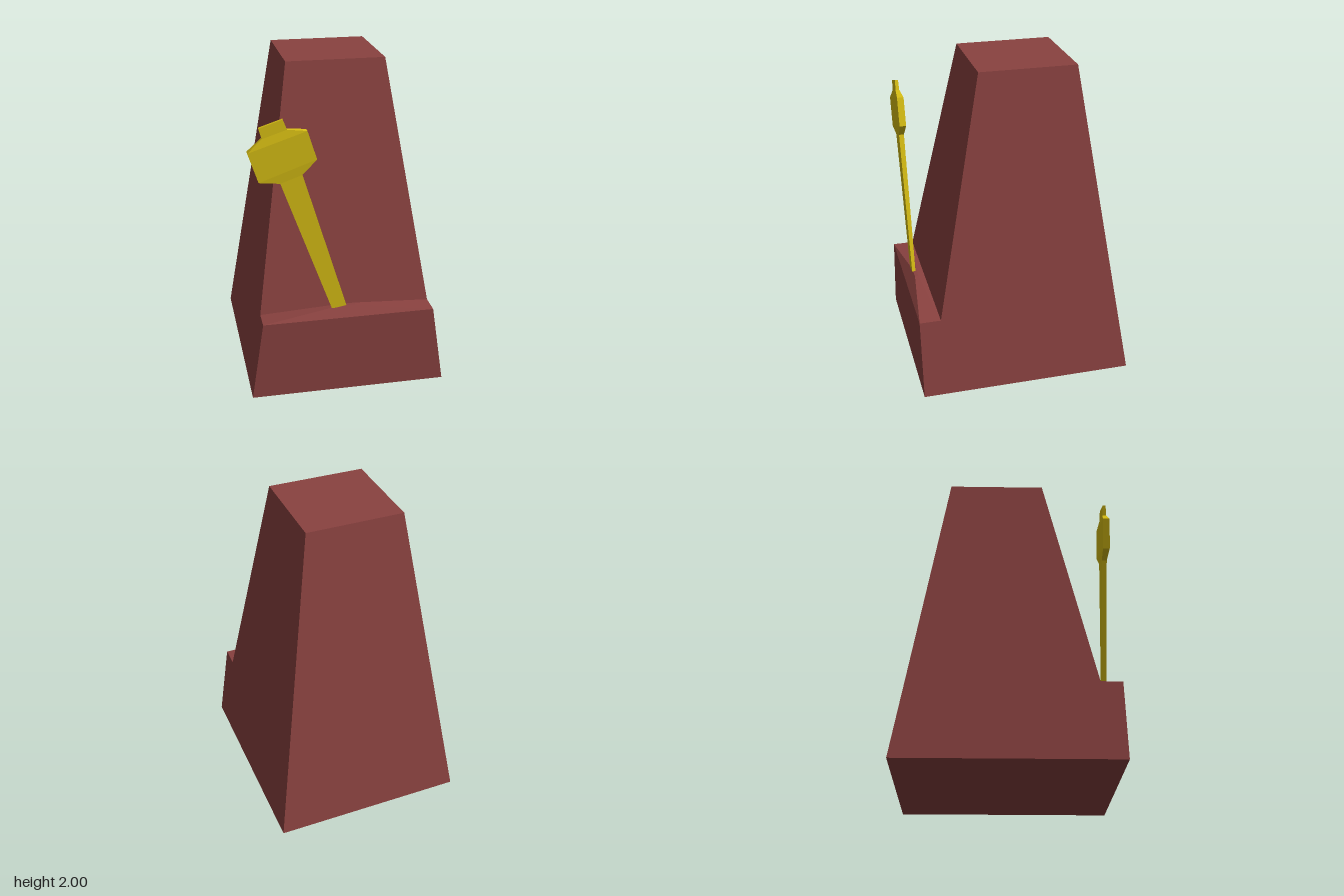
import * as THREE from 'three';

// Skins a stack of four-cornered rings (front-left, front-right, back-right, back-left).
function loft(rings, capBottom, capTop) {
  const pos = [];
  const quad = (a, b, c, d) => pos.push(...a, ...b, ...c, ...a, ...c, ...d);
  for (let k = 0; k < rings.length - 1; k++) {
    const lo = rings[k], hi = rings[k + 1];
    for (let i = 0; i < 4; i++) {
      const j = (i + 1) % 4;
      quad(lo[i], lo[j], hi[j], hi[i]);
    }
  }
  if (capBottom) quad(...[...rings[0]].reverse());
  if (capTop) quad(...rings[rings.length - 1]);
  const geo = new THREE.BufferGeometry();
  geo.setAttribute('position', new THREE.Float32BufferAttribute(pos, 3));
  geo.computeVertexNormals();
  return geo;
}

// Level rectangle, symmetric in x.
const rect = (y, x, zFront, zBack) =>
  [[-x, y, zFront], [x, y, zFront], [x, y, zBack], [-x, y, zBack]];

// Cross-section of the tilted pendulum between a left and a right point.
const PENDULUM_Z = 0.617;
const slice = ([lx, ly, rx, ry, t]) => [
  [lx, ly, PENDULUM_Z + t], [rx, ry, PENDULUM_Z + t],
  [rx, ry, PENDULUM_Z - t], [lx, ly, PENDULUM_Z - t],
];

export function createModel() {
  const model = new THREE.Group();
  model.name = 'metronome';
  const wood = new THREE.MeshStandardMaterial({ color: 0x8a4240, flatShading: true });
  const brass = new THREE.MeshStandardMaterial({ color: 0xd8bf14, flatShading: true });
  const add = (name, geo, mat) => {
    const mesh = new THREE.Mesh(geo, mat);
    mesh.name = name;
    model.add(mesh);
  };

  // Lower case with an upright front
  add('base', loft([rect(0, 0.608, 0.675, -0.675), rect(0.5, 0.532, 0.675, -0.599)], true, false), wood);

  // Tapered tower, set back behind the ledge
  add('tower', loft([rect(0.5, 0.532, 0.542, -0.599), rect(2, 0.304, 0.235, -0.372)], false, true), wood);

  // Low hipped ledge that carries the pendulum
  add('ledge', loft([rect(0.5, 0.532, 0.675, 0.542), rect(0.555, 0.05, 0.62, 0.597)], false, true), wood);

  // Swinging rod: left x, y, right x, y, half thickness
  add('pendulumRod', loft([
    [-0.1, 0.545, -0.01, 0.56, 0.011],
    [-0.405, 1.385, -0.275, 1.43, 0.016],
  ].map(slice), true, true), brass);

  // Sliding weight with the rod's tip above it
  add('pendulumWeight', loft([
    [-0.405, 1.385, -0.275, 1.43, 0.016],
    [-0.53, 1.4, -0.19, 1.52, 0.021],
    [-0.59, 1.58, -0.245, 1.693, 0.021],
    [-0.505, 1.658, -0.36, 1.705, 0.012],
    [-0.522, 1.72, -0.383, 1.765, 0.01],
  ].map(slice), true, true), brass);

  return model;
}
